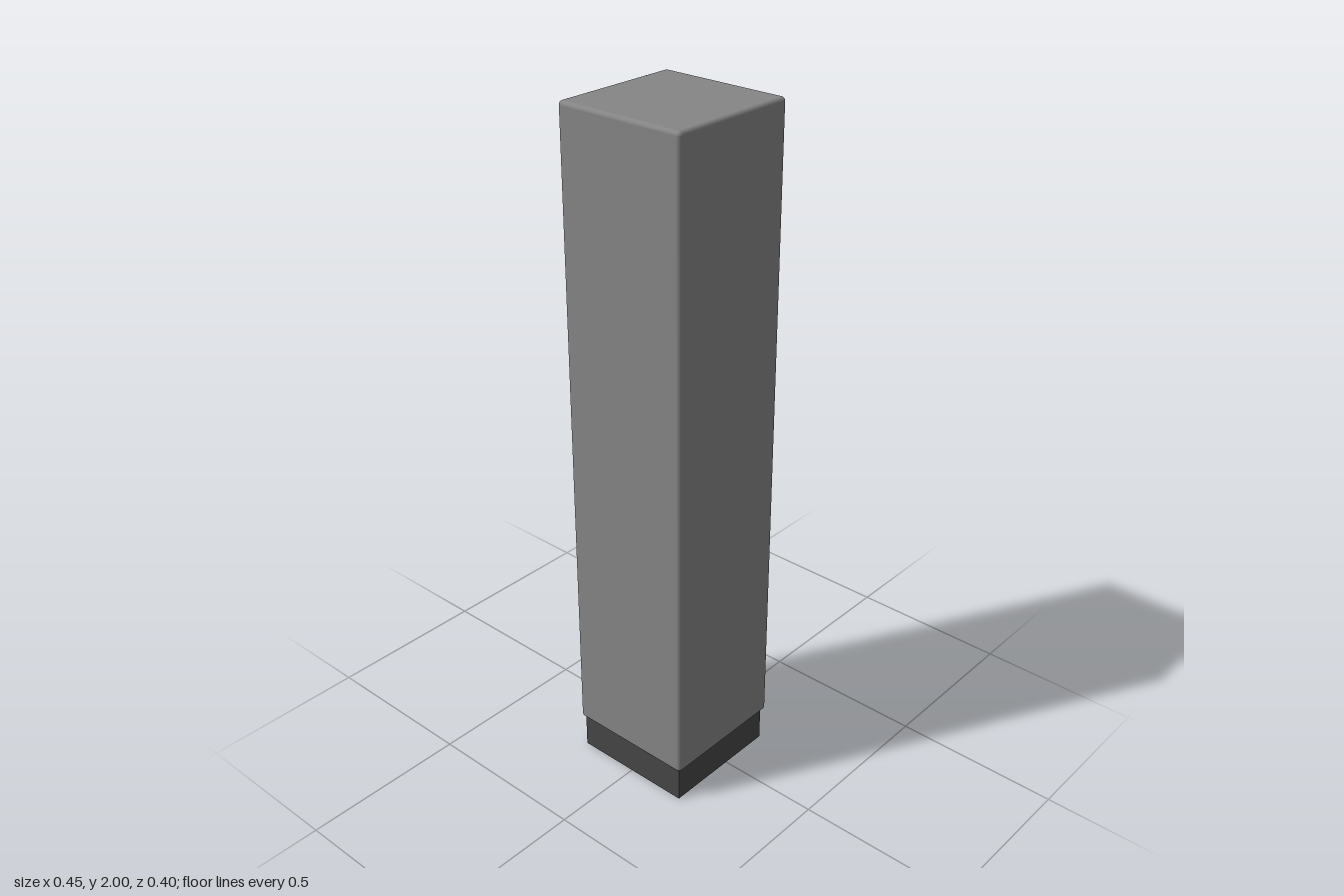
import * as THREE from 'three';
import { RoundedBoxGeometry } from 'three/addons/geometries/RoundedBoxGeometry.js';
import { toCreasedNormals } from 'three/addons/utils/BufferGeometryUtils.js';

export function createModel() {
  const model = new THREE.Group();
  model.name = 'floorSpeaker';

  const grey = new THREE.MeshStandardMaterial({ color: 0x858585 });
  grey.name = 'cabinetGrey';
  const dark = new THREE.MeshStandardMaterial({ color: 0x464646 });
  dark.name = 'charcoal';

  function add(parent, name, geometry, material, x, y, z = 0) {
    const mesh = new THREE.Mesh(geometry, material);
    mesh.name = name;
    mesh.position.set(x, y, z);
    parent.add(mesh);
    return mesh;
  }

  // Box given by its x range, y range and full depth; a radius rounds the edges
  function block(name, material, [x0, x1], [y0, y1], depth, radius = 0) {
    const w = x1 - x0, h = y1 - y0;
    const geometry = radius
      ? new RoundedBoxGeometry(w, h, depth, 4, radius)
      : new THREE.BoxGeometry(w, h, depth);
    return add(model, name, geometry, material, (x0 + x1) / 2, (y0 + y1) / 2);
  }

  // Cabinet, plinth and stepped front panel facing +x
  block('plinth', dark, [-0.215, 0.16], [0, 0.115], 0.376);
  block('cabinet', grey, [-0.225, 0.173], [0.107, 2], 0.398, 0.012);
  block('bafflePlate', dark, [0.14, 0.181], [0.135, 1.972], 0.34, 0.006);
  block('bafflePanel', dark, [0.15, 0.191], [0.142, 1.965], 0.326, 0.008);

  // Round or oval driver: turned frame with shallow cone, plus a domed centre
  function driver(name, y, profile, ry, rz, domeX) {
    const group = new THREE.Group();
    group.name = name;
    group.position.y = y;
    model.add(group);
    const points = profile.map(([r, h]) => new THREE.Vector2(r, h));
    const turned = new THREE.LatheGeometry(points, 64);
    turned.rotateZ(-Math.PI / 2);
    turned.scale(1, ry, rz);
    add(group, 'frameAndCone', toCreasedNormals(turned, 0.4), dark, 0.188, 0);
    const dome = new THREE.SphereGeometry(0.04, 32, 12, 0, Math.PI * 2, 0, Math.PI / 2);
    dome.rotateZ(-Math.PI / 2);
    add(group, 'dome', dome, dark, domeX, 0);
  }

  const wooferProfile = [[1, 0], [1, 0.03], [0.92, 0.03], [0.9, 0.025], [0.6, 0.018], [0.2, 0.011], [0, 0.011]];
  const tweeterProfile = [[1, 0], [1, 0.014], [0.88, 0.014], [0.84, 0.011], [0.3, 0.009], [0, 0.009]];
  driver('tweeter', 1.755, tweeterProfile, 0.062, 0.118, 0.174);
  driver('upperWoofer', 1.502, wooferProfile, 0.141, 0.141, 0.185);
  driver('lowerWoofer', 1.172, wooferProfile, 0.141, 0.141, 0.185);

  return model;
}
